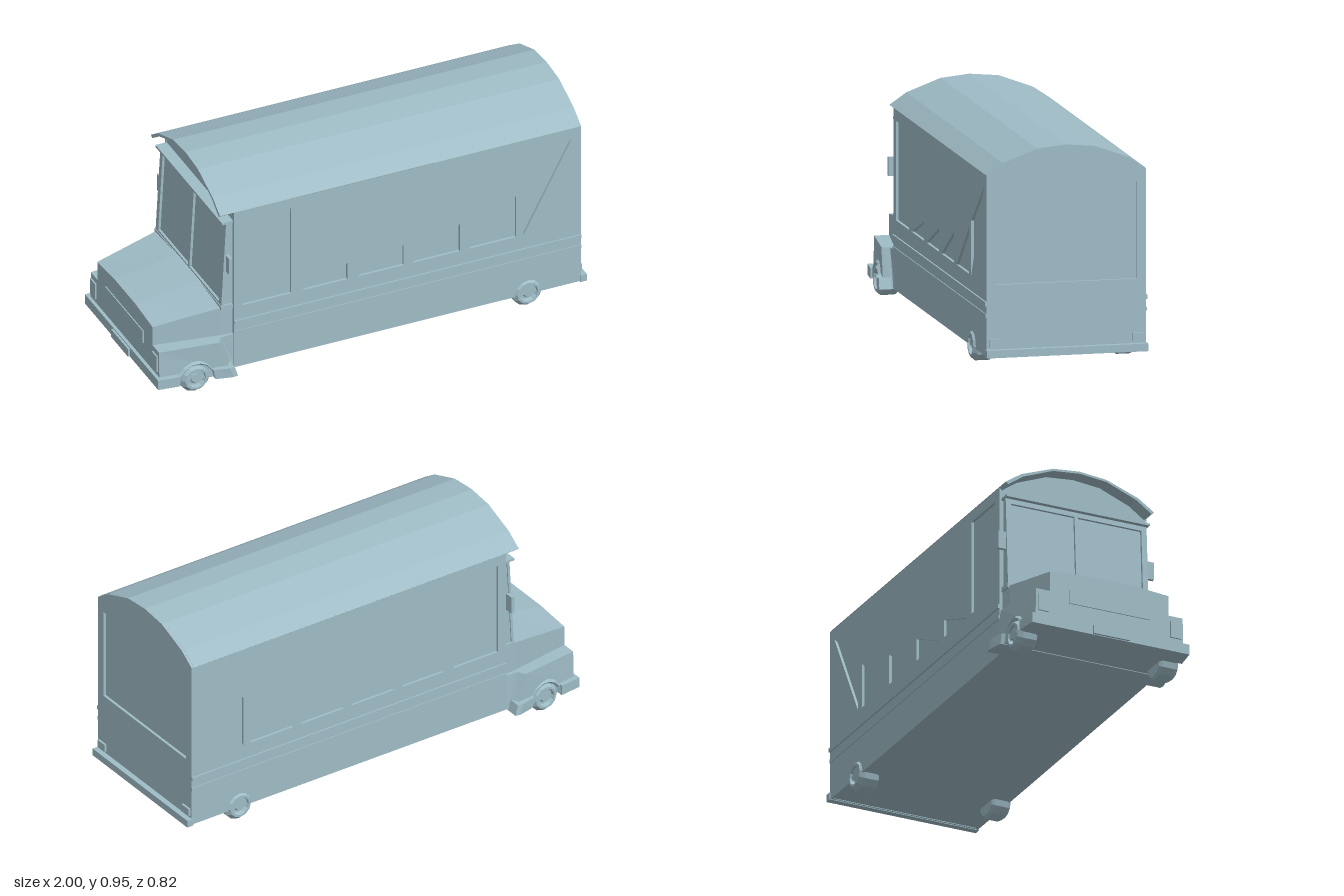
import * as THREE from 'three';

const paint = new THREE.MeshStandardMaterial({ color: 0x9fbcc6, flatShading: true });
paint.name = 'pale blue grey';

export function createModel() {
  const root = new THREE.Group();
  root.name = 'stepVan';

  const add = (name, geo, parent = root) => {
    const m = new THREE.Mesh(geo, paint);
    m.name = name;
    parent.add(m);
    return m;
  };
  // Box given by its limits on each axis
  const box = (name, x0, x1, y0, y1, z0, z1) => add(name,
    new THREE.BoxGeometry(x1 - x0, y1 - y0, z1 - z0).translate((x0 + x1) / 2, (y0 + y1) / 2, (z0 + z1) / 2));
  const shapeOf = (pts, holes = []) => {
    const s = new THREE.Shape(pts.map(p => new THREE.Vector2(...p)));
    holes.forEach(h => s.holes.push(new THREE.Path(h.map(p => new THREE.Vector2(...p)))));
    return s;
  };
  const extrude = (shape, depth) => new THREE.ExtrudeGeometry(shape, { depth, bevelEnabled: false });
  const rect = (a, b, c, d) => [[a, c], [b, c], [b, d], [a, d]];
  // Skin over matching rings of [x, y, z], ordered by rising x
  const loft = rings => {
    const v = [], n = rings[0].length;
    for (let i = 0; i + 1 < rings.length; i++) {
      for (let j = 0; j < n; j++) {
        const k = (j + 1) % n;
        const [a, b, c, d] = [rings[i][j], rings[i][k], rings[i + 1][k], rings[i + 1][j]];
        v.push(...a, ...b, ...c, ...a, ...c, ...d);
      }
    }
    const s = rings[0], e = rings[rings.length - 1];
    for (let k = 1; k + 1 < n; k++) v.push(...s[0], ...s[k + 1], ...s[k], ...e[0], ...e[k], ...e[k + 1]);
    const g = new THREE.BufferGeometry();
    g.setAttribute('position', new THREE.Float32BufferAttribute(v, 3));
    g.computeVertexNormals();
    return g;
  };
  // Full-width four-point ring: bottom x, top x, half width below and above
  const ring = (xb, xt, zb, zt, y0, y1) => [[xb, y0, zb], [xb, y0, -zb], [xt, y1, -zt], [xt, y1, zt]];

  // Arched roof line
  const arch = (w, drop) => [[w, 0.835 - drop], [0.272 * w / 0.345, 0.885 - drop], [0.125, 0.94 - drop], [0, 0.952 - drop],
    [-0.125, 0.94 - drop], [-0.272 * w / 0.345, 0.885 - drop], [-w, 0.835 - drop]];
  const hull = (w, drop) => [[-w, 0.06], [w, 0.06], ...arch(w, drop)];

  // Cargo body: recessed core, window-cut side and rear skins
  add('bodyCore', extrude(shapeOf(hull(0.333, 0.011)), 1.585).rotateY(Math.PI / 2).translate(-0.628, 0, 0));
  const sideWindows = [rect(-0.59, -0.365, 0.36, 0.785)];
  [[-0.32, -0.105, 0.44], [-0.065, 0.155, 0.46], [0.195, 0.415, 0.495], [0.455, 0.675, 0.565]]
    .forEach(([a, b, y]) => sideWindows.push([[a, 0.36], [b, 0.36], [b, y]]));
  sideWindows.push([[0.71, 0.36], [0.935, 0.785], [0.71, 0.595]]);
  const side = extrude(shapeOf(rect(-0.63, 0.963, 0.06, 0.836), sideWindows), 0.012);
  add('leftSidePanel', side.clone().translate(0, 0, 0.333));
  add('rightSidePanel', side.clone().translate(0, 0, -0.345));
  add('rearPanel', extrude(shapeOf(hull(0.345, 0), [rect(-0.305, 0.305, 0.365, 0.78)]), 0.012)
    .rotateY(Math.PI / 2).translate(0.963, 0, 0));
  add('roof', extrude(shapeOf([...arch(0.347, 0), ...arch(0.335, 0.01).reverse()]), 1.658)
    .rotateY(Math.PI / 2).translate(-0.695, 0, 0));

  // Cab face with split windscreen and visor
  add('cab', loft([ring(-0.671, -0.648, 0.325, 0.325, 0.36, 0.78), ring(-0.62, -0.62, 0.325, 0.325, 0.36, 0.78)]));
  const frame = extrude(shapeOf(rect(-0.33, 0.33, 0, 0.42),
    [rect(-0.305, -0.008, 0.02, 0.395), rect(0.008, 0.305, 0.02, 0.395)]), 0.012).rotateY(-Math.PI / 2);
  const screen = add('windscreenFrame', frame);
  screen.position.set(-0.67, 0.36, 0);
  screen.rotation.z = -0.055;
  box('visor', -0.68, -0.625, 0.777, 0.787, -0.335, 0.335);
  box('cowl', -0.685, -0.625, 0.352, 0.372, -0.335, 0.335);

  // Hood with raised centre panel
  const hoodRing = (x, w, shoulder, top) => [[x, 0.22, w], [x, 0.22, -w], [x, shoulder, -w], [x, top, -0.107],
    [x, top, 0.107], [x, shoulder, w]];
  add('hood', loft([hoodRing(-0.975, 0.278, 0.315, 0.33), hoodRing(-0.69, 0.325, 0.36, 0.373), hoodRing(-0.625, 0.33, 0.363, 0.376)]));

  // Flared fenders, joined under the hood
  add('fenders', loft([
    ring(-0.975, -0.975, 0.347, 0.343, 0.06, 0.225),
    ring(-0.66, -0.71, 0.382, 0.378, 0.06, 0.225),
    ring(-0.635, -0.69, 0.345, 0.345, 0.06, 0.225),
    ring(-0.62, -0.62, 0.34, 0.34, 0.06, 0.225),
  ]));
  add('frontBumper', loft([ring(-0.99, -0.99, 0.368, 0.368, 0.057, 0.103), ring(-0.892, -0.892, 0.38, 0.38, 0.057, 0.103)]));
  add('fenderSteps', loft([
    ring(-0.735, -0.745, 0.392, 0.39, 0.057, 0.103),
    ring(-0.66, -0.675, 0.409, 0.407, 0.057, 0.103),
    ring(-0.638, -0.652, 0.405, 0.403, 0.057, 0.103),
  ]));
  box('frontPlate', -1, -0.985, 0.06, 0.098, -0.085, 0.085);
  box('grille', -0.98, -0.97, 0.185, 0.245, -0.19, 0.19);

  // Rear bumper
  box('rearBumper', 0.97, 1, 0.057, 0.09, -0.35, 0.35);

  // Wheel profile: hub, rim lip and chamfered tyre
  const tyre = [[0, 0.08], [0.02, 0.08], [0.026, 0.072], [0.036, 0.072], [0.042, 0.09], [0.052, 0.09], [0.069, 0.07], [0.069, 0.012],
    [0.058, 0], [0, 0]].reverse().map(p => new THREE.Vector2(...p));
  const wheel = new THREE.LatheGeometry(tyre, 12).rotateX(Math.PI / 2);
  const flare = new THREE.TorusGeometry(0.078, 0.01, 4, 7, Math.PI);

  for (const s of [1, -1]) {
    const half = new THREE.Group();
    half.name = s > 0 ? 'leftFittings' : 'rightFittings';
    root.add(half);
    const put = (name, x0, x1, y0, y1, z0, z1) => half.add(box(name, x0, x1, y0, y1, s * (s > 0 ? z0 : z1), s * (s > 0 ? z1 : z0)));
    put('upperRail', -0.63, 0.975, 0.276, 0.294, 0.34, 0.352);
    put('lowerRail', -0.63, 0.975, 0.226, 0.242, 0.34, 0.349);
    put('headlight', -0.982, -0.96, 0.125, 0.2, 0.285, 0.335);
    put('tailLight', 0.97, 0.985, 0.1, 0.135, 0.285, 0.335);
    put('mirror', -0.66, -0.645, 0.54, 0.62, 0.325, 0.364);
    for (const [name, x, z] of [['frontWheel', -0.815, 0.286], ['rearWheel', 0.73, 0.264]]) {
      const w = add(name, wheel, half);
      w.position.set(x, 0.069, s * z);
      if (s < 0) w.rotation.y = Math.PI;
    }
    add('wheelArch', flare, half).position.set(-0.815, 0.065, s * 0.364);
  }
  return root;
}
